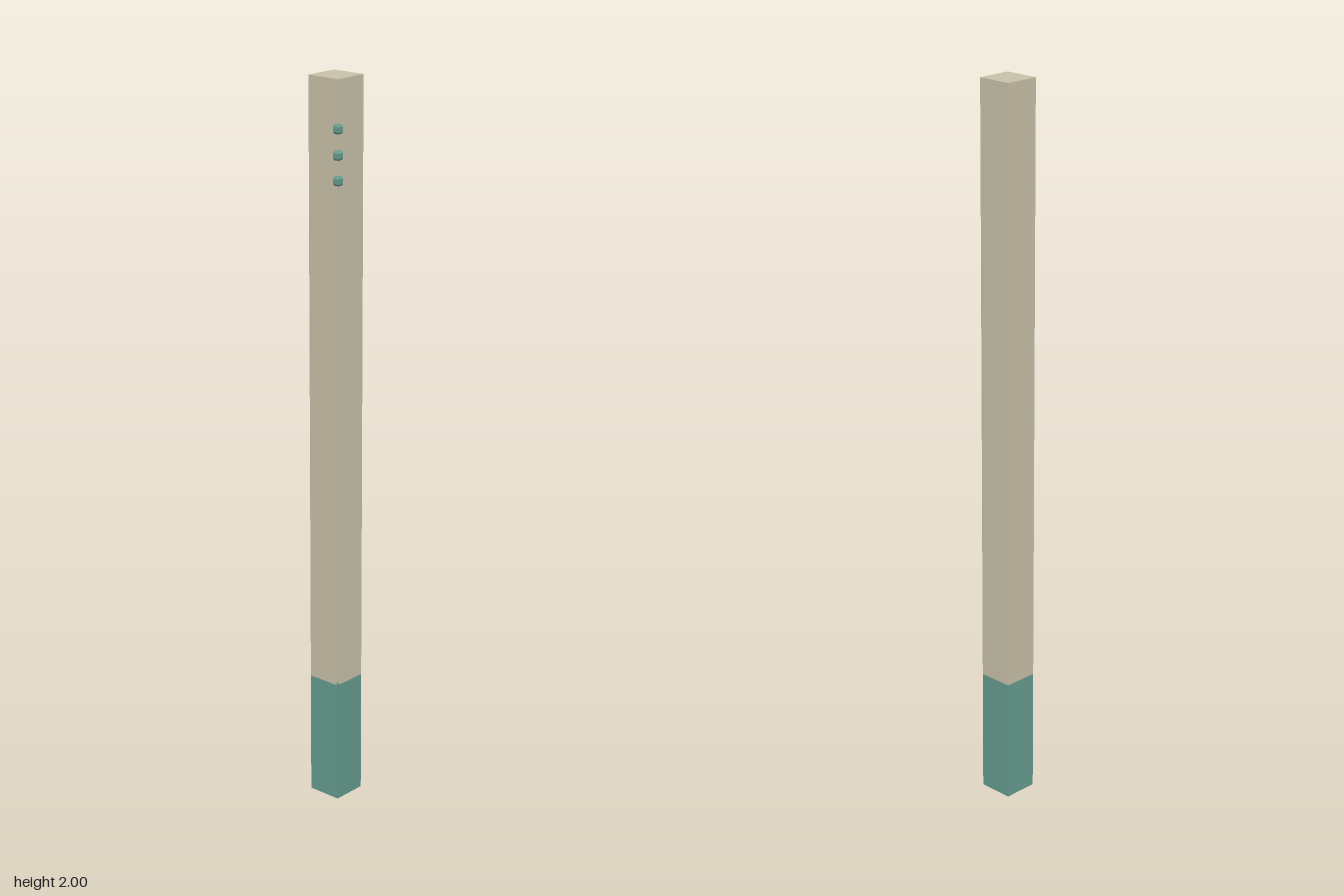
import * as THREE from 'three';

const LOW = -0.058, HIGH = 0.04, SPLIT = 0.345, TOP = 2;

// Square block with one corner fixed at (HIGH, HIGH); outer sides slope in at top and bottom
function studGeometry(size, height, bevel) {
  const h = height / 2;
  const geo = new THREE.BoxGeometry(size, height, size, 1, 3, 1).toNonIndexed();
  const p = geo.attributes.position;
  for (let i = 0; i < p.count; i++) {
    const end = Math.abs(p.getY(i)) > h - 1e-6;
    const outer = size - (end ? bevel : 0);
    p.setXYZ(
      i,
      p.getX(i) > 0 ? outer : 0,
      end ? Math.sign(p.getY(i)) * h : Math.sign(p.getY(i)) * (h - bevel),
      p.getZ(i) > 0 ? outer : 0
    );
  }
  geo.computeVertexNormals();
  return geo;
}

export function createModel() {
  const model = new THREE.Group();
  model.name = 'post';

  const tan = new THREE.MeshStandardMaterial({ color: 0xc8c0a9 });
  tan.name = 'tan';
  const teal = new THREE.MeshStandardMaterial({ color: 0x669c8e });
  teal.name = 'teal';

  const add = (name, geometry, material, x, y, z) => {
    const mesh = new THREE.Mesh(geometry, material);
    mesh.name = name;
    mesh.position.set(x, y, z);
    model.add(mesh);
  };

  // Shaft and painted foot
  const width = HIGH - LOW, mid = (HIGH + LOW) / 2;
  add('shaft', new THREE.BoxGeometry(width, TOP - SPLIT, width), tan, mid, (TOP + SPLIT) / 2, mid);
  add('foot', new THREE.BoxGeometry(width, SPLIT, width), teal, mid, SPLIT / 2, mid);

  // Three studs on the front left corner
  const stud = studGeometry(0.018, 0.024, 0.005);
  [1.745, 1.81, 1.877].forEach((y, i) => add(`stud${i + 1}`, stud, teal, HIGH, y, HIGH));

  // Tiny stud where the foot meets the shaft
  add('footStud', studGeometry(0.005, 0.01, 0.002), teal, HIGH, 0.35, HIGH);

  return model;
}
